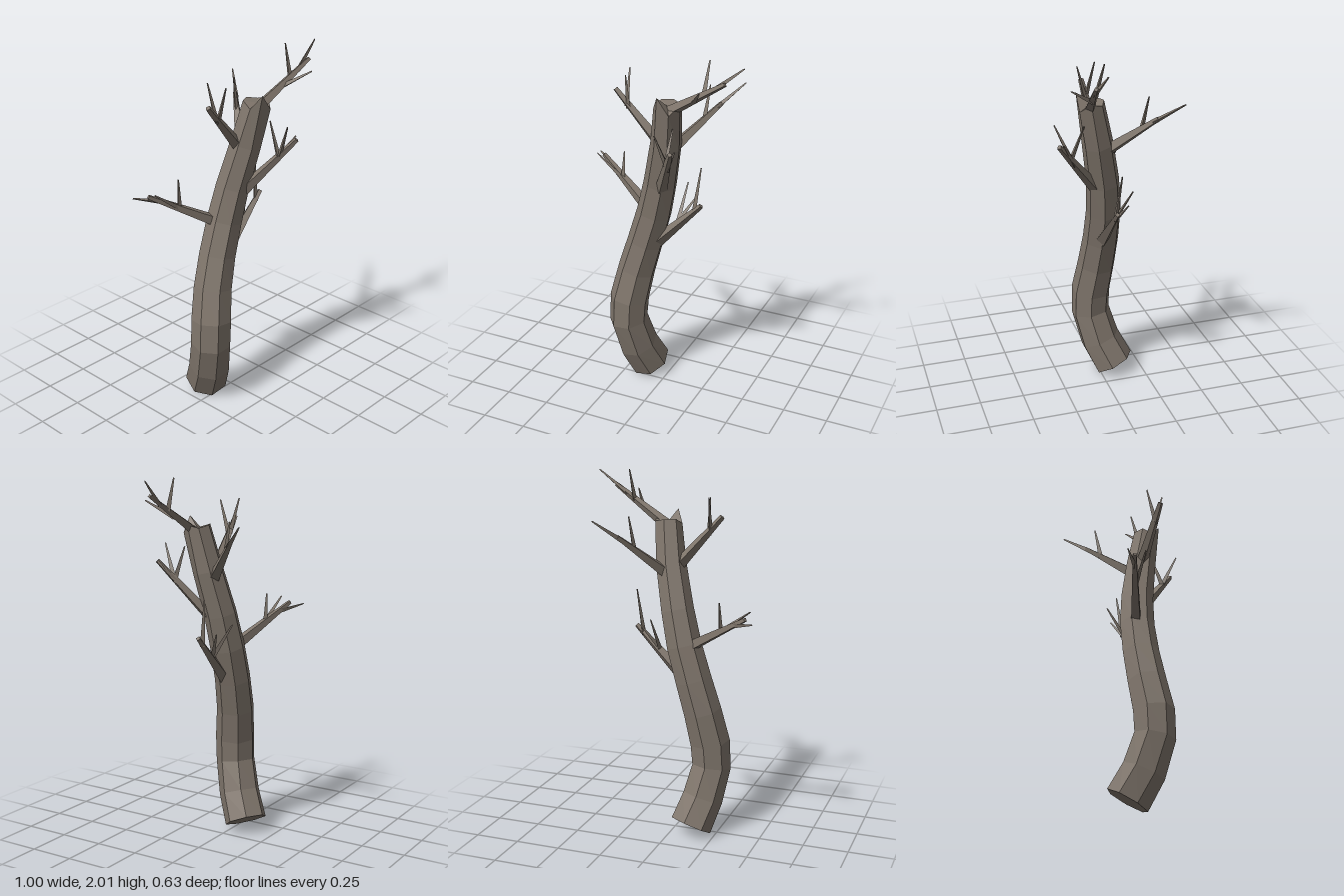
import * as THREE from 'three';

const V = (p) => new THREE.Vector3(...p);

// Closed faceted tube: each point is [x, y, z, radius]; lift raises the last ring's corners.
function limb(name, points, sides, material, lift = []) {
  const centres = points.map(V);
  const last = points.length - 1;
  const pos = [], index = [];
  centres.forEach((c, i) => {
    const d = centres[Math.min(i + 1, last)].clone().sub(centres[Math.max(i - 1, 0)]).normalize();
    const u = new THREE.Vector3(1, 0, 0).addScaledVector(d, -d.x).normalize();
    const w = u.clone().cross(d);
    for (let k = 0; k < sides; k++) {
      const a = (k / sides) * Math.PI * 2, r = points[i][3];
      const p = c.clone().addScaledVector(u, r * Math.sin(a)).addScaledVector(w, -r * Math.cos(a));
      if (i === last) p.y += lift[k] || 0;
      pos.push(p.x, p.y, p.z);
    }
  });
  const bottom = pos.length / 3, top = bottom + 1;
  pos.push(...centres[0].toArray(), ...centres[last].toArray());
  for (let k = 0; k < sides; k++) {
    const n = (k + 1) % sides;
    for (let i = 0; i < last; i++) {
      const a = i * sides + k, b = i * sides + n;
      index.push(a, a + sides, b + sides, a, b + sides, b);
    }
    index.push(bottom, k, n, top, last * sides + n, last * sides + k);
  }
  const indexed = new THREE.BufferGeometry();
  indexed.setAttribute('position', new THREE.Float32BufferAttribute(pos, 3));
  indexed.setIndex(index);
  const geometry = indexed.toNonIndexed();
  geometry.computeVertexNormals();
  const mesh = new THREE.Mesh(geometry, material);
  mesh.name = name;
  return mesh;
}

export function createModel() {
  const tree = new THREE.Group();
  tree.name = 'deadTree';
  const bark = new THREE.MeshStandardMaterial({ color: 0x80766c });
  bark.name = 'greyBrownBark';
  bark.flatShading = true;

  // Crooked trunk with a splintered top
  tree.add(limb('trunk', [
    [-0.12, 0.053, -0.08, 0.12],
    [-0.165, 0.2, -0.01, 0.117],
    [-0.2, 0.38, 0.037, 0.112],
    [-0.192, 0.52, 0.035, 0.113],
    [-0.155, 0.7, 0.012, 0.107],
    [-0.105, 0.88, 0.0, 0.102],
    [-0.05, 1.07, 0.0, 0.098],
    [-0.005, 1.26, 0.018, 0.092],
    [0.048, 1.5, 0.063, 0.085],
    [0.08, 1.73, 0.112, 0.076],
  ], 7, bark, [0, 0, 0.03, -0.01, 0.07, -0.02, 0]));

  // Branches: start, end, base and tip radius, then twigs as [start, tip]
  const branches = [
    { name: 'lowerRightBranch', from: [-0.09, 1.07, -0.02], to: [-0.445, 1.28, -0.17], r: [0.036, 0.013],
      twigs: [[[-0.38, 1.24, -0.145], [-0.5, 1.27, -0.23]],
        [[-0.28, 1.18, -0.1], [-0.455, 1.308, -0.11]],
        [[-0.29, 1.18, -0.1], [-0.285, 1.345, -0.11]]] },
    { name: 'upperRightBranch', from: [0.02, 1.48, 0.05], to: [-0.24, 1.77, 0.07], r: [0.036, 0.015],
      twigs: [[[-0.175, 1.68, 0.065], [-0.183, 1.875, 0.01]],
        [[-0.165, 1.67, 0.065], [-0.157, 1.865, 0.115]]] },
    { name: 'lowerLeftBranch', from: [-0.03, 0.9, 0.015], to: [0.23, 1.16, 0.01], r: [0.038, 0.014],
      twigs: [[[0.095, 1.03, 0.01], [0.098, 1.225, -0.12]],
        [[0.19, 1.11, 0.01], [0.215, 1.365, -0.02]],
        [[0.09, 1.03, 0.01], [0.175, 1.18, -0.07]]] },
    { name: 'backBranch', from: [0.06, 1.46, 0.02], to: [0.25, 1.675, -0.2], r: [0.036, 0.014],
      twigs: [[[0.235, 1.655, -0.18], [0.345, 1.768, -0.31]],
        [[0.185, 1.6, -0.13], [0.2, 1.78, -0.165]]] },
    { name: 'topBranch', from: [0.08, 1.7, 0.115], to: [0.415, 1.91, 0.18], r: [0.032, 0.012],
      twigs: [[[0.34, 1.86, 0.165], [0.5, 1.99, 0.145]],
        [[0.295, 1.83, 0.15], [0.305, 2.0, 0.105]],
        [[0.24, 1.79, 0.15], [0.32, 1.88, 0.278]]] },
    { name: 'frontBranch', from: [0.025, 1.25, 0.075], to: [0.178, 1.55, 0.305], r: [0.034, 0.014],
      twigs: [[[0.13, 1.45, 0.23], [0.095, 1.64, 0.31]],
        [[0.12, 1.42, 0.21], [0.195, 1.56, 0.285]],
        [[0.12, 1.45, 0.23], [0.13, 1.63, 0.16]]] },
  ];
  for (const b of branches) {
    const group = new THREE.Group();
    group.name = b.name;
    group.add(limb('branch', [[...b.from, b.r[0]], [...b.to, b.r[1]]], 4, bark));
    for (const [start, tip] of b.twigs) {
      group.add(limb('twig', [[...start, 0.015], [...tip, 0.004]], 3, bark));
    }
    tree.add(group);
  }
  return tree;
}
